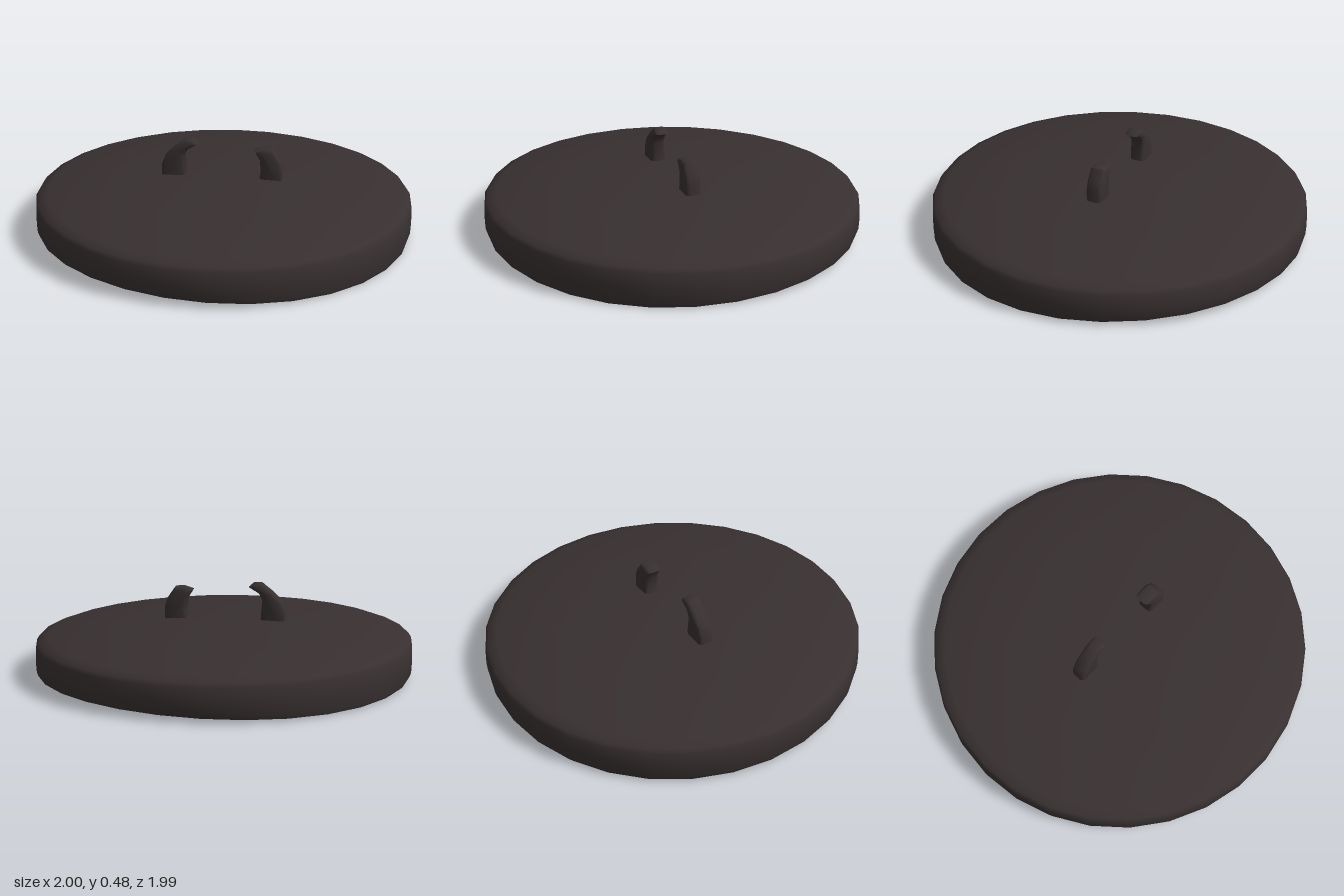
import * as THREE from 'three';
import { toCreasedNormals } from 'three/addons/utils/BufferGeometryUtils.js';

const SEGMENTS = 30;
const PANEL_TOP = 0.265, PANEL_DROP = 0.07;
const HANDLE_TURN = 0.37, RIB_TURN = 0.46;

const panelY = r => PANEL_TOP - PANEL_DROP * r;
const lathe = pts =>
  new THREE.LatheGeometry(pts.map(p => new THREE.Vector2(...p)), SEGMENTS).rotateY(Math.PI / 2);

// Uneven, hand-beaten look: bent lower lip and a slight lean of the upper skin
function warp(geometry) {
  const p = geometry.attributes.position;
  for (let i = 0; i < p.count; i++) {
    const x = p.getX(i), y = p.getY(i), z = p.getZ(i);
    const a = Math.atan2(z, x);
    const dy = y < 0.08
      ? -0.018 * Math.cos(2 * (a - 0.98)) - 0.007 * Math.cos(a)
      : -0.007 * x + 0.004 * z;
    p.setY(i, y + dy);
  }
  return geometry;
}

export function createModel() {
  const group = new THREE.Group();
  const iron = new THREE.MeshStandardMaterial({ color: 0x383030 });
  iron.name = 'darkIron';

  function add(name, geometry, parent = group) {
    const mesh = new THREE.Mesh(geometry, iron);
    mesh.name = name;
    parent.add(mesh);
    return mesh;
  }

  // Hollow domed lid: underside panel, inner wall, lip, outer wall, dome
  add('lid', toCreasedNormals(warp(lathe([
    [0, PANEL_TOP], [0.5, panelY(0.5)], [0.94, panelY(0.94)], [0.965, 0.182],
    [0.978, 0.026], [0.99, 0.023],
    [0.997, 0.045], [1, 0.1], [0.998, 0.18], [0.985, 0.2], [0.935, 0.219],
    [0.6, 0.262], [0.3, 0.288], [0, 0.296],
  ])), 0.75));

  // Raised rings under the lid
  function ring(name, inner, outer, depth) {
    add(name, toCreasedNormals(warp(lathe([
      [inner, panelY(inner) + 0.01], [inner + 0.006, panelY(inner) - depth],
      [outer - 0.006, panelY(outer) - depth], [outer, panelY(outer) + 0.01],
    ])), 0.6));
  }
  ring('innerRing', 0.245, 0.295, 0.016);
  ring('outerRing', 0.91, 0.94, 0.014);

  // Eight radial ribs under the lid
  const ribs = new THREE.Group();
  ribs.name = 'ribs';
  group.add(ribs);
  for (let i = 0; i < 8; i++) {
    const arm = new THREE.Group();
    arm.name = 'ribArm';
    arm.rotation.y = -RIB_TURN - i * Math.PI / 4;
    const rib = add('rib', new THREE.BoxGeometry(0.64, 0.03, 0.03), arm);
    rib.position.set(0.6, panelY(0.6) - 0.003, 0);
    rib.rotation.z = -Math.atan(PANEL_DROP);
    ribs.add(arm);
  }

  // Two broken handle stumps curling toward each other
  const handle = new THREE.Group();
  handle.name = 'brokenHandle';
  handle.rotation.y = -HANDLE_TURN;
  group.add(handle);
  function stump(name, outline, thickness) {
    const bevel = 0.02;
    const shape = new THREE.Shape(outline.map(p => new THREE.Vector2(...p)));
    const geometry = new THREE.ExtrudeGeometry(shape, {
      depth: thickness - 2 * bevel, bevelEnabled: true, bevelThickness: bevel,
      bevelSize: bevel, bevelOffset: -bevel, bevelSegments: 2,
    });
    geometry.translate(0, 0, bevel - thickness / 2);
    add(name, toCreasedNormals(geometry, 0.8), handle);
  }
  stump('rightStump', [
    [-0.33, 0.25], [-0.2, 0.25], [-0.2, 0.32], [-0.208, 0.395], [-0.19, 0.43],
    [-0.135, 0.463], [-0.16, 0.484], [-0.2, 0.486], [-0.265, 0.435], [-0.31, 0.39], [-0.33, 0.34],
  ], 0.08);
  stump('leftStump', [
    [0.185, 0.25], [0.315, 0.25], [0.315, 0.35], [0.3, 0.395], [0.26, 0.452],
    [0.215, 0.455], [0.165, 0.44], [0.195, 0.39], [0.2, 0.32],
  ], 0.085);

  return group;
}
